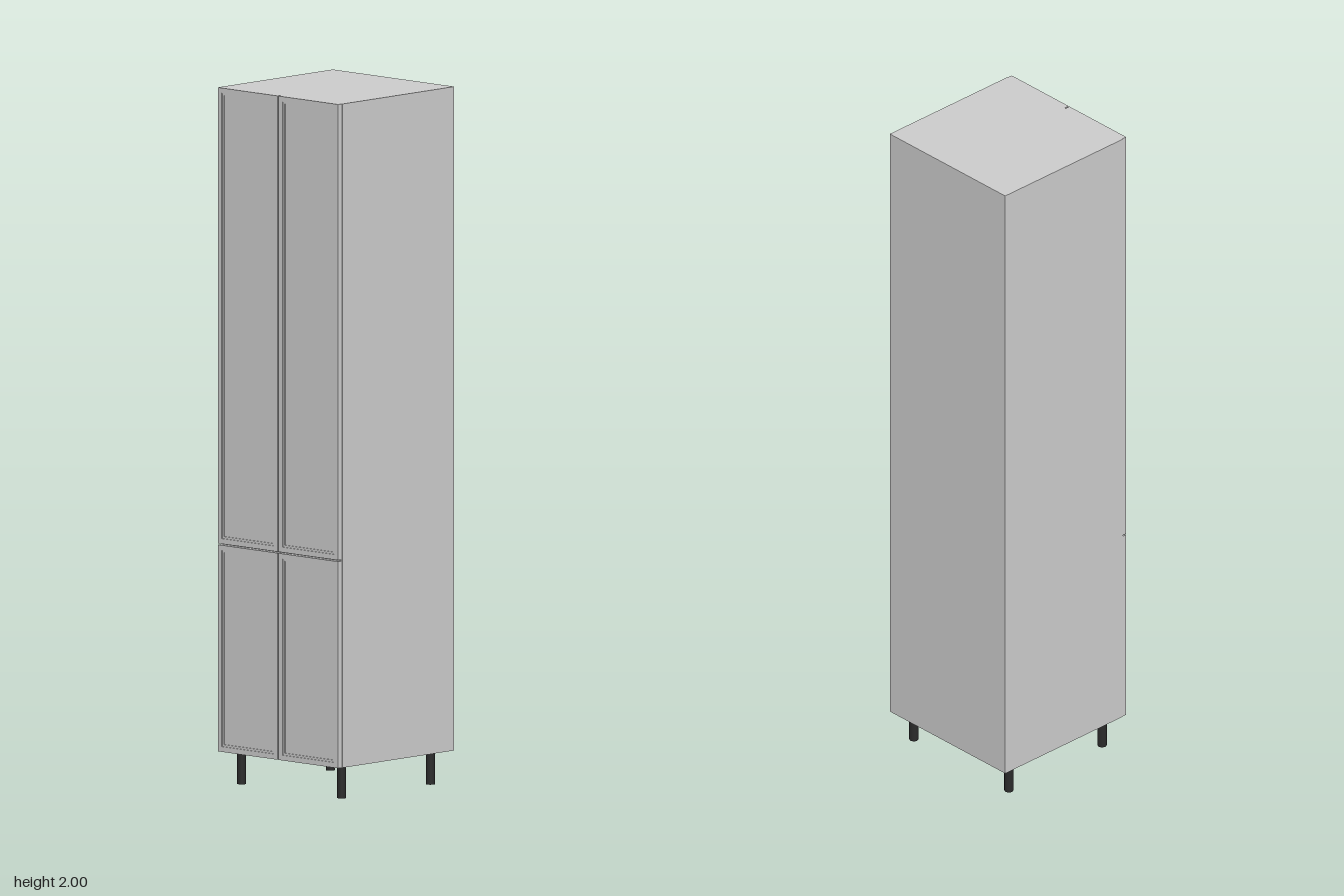
import * as THREE from 'three';

const grey = new THREE.MeshStandardMaterial({ color: 0xcccccc });
const dark = new THREE.MeshStandardMaterial({ color: 0x2a2a2a });

function box(name, w, h, d, x, y, z) {
  const mesh = new THREE.Mesh(new THREE.BoxGeometry(w, h, d), grey);
  mesh.name = name;
  mesh.position.set(x, y, z);
  return mesh;
}

// Rectangular ring of the given border width, its back at z
function ring(name, w, h, border, depth, z) {
  const rect = (C, a, b) => new C([
    new THREE.Vector2(-a, -b), new THREE.Vector2(a, -b),
    new THREE.Vector2(a, b), new THREE.Vector2(-a, b),
  ]);
  const shape = rect(THREE.Shape, w / 2, h / 2);
  shape.holes.push(rect(THREE.Path, w / 2 - border, h / 2 - border));
  const mesh = new THREE.Mesh(new THREE.ExtrudeGeometry(shape, { depth, bevelEnabled: false }), grey);
  mesh.name = name;
  mesh.position.z = z;
  return mesh;
}

// Framed door with a stepped moulding around a recessed panel
function makeDoor(name, w, h) {
  const door = new THREE.Group();
  door.name = name;
  const border = 0.015, step = 0.006;
  door.add(ring('doorFrame', w, h, border, 0.015, 0));
  door.add(ring('doorMoulding', w - 2 * border, h - 2 * border, step, 0.012, 0));
  const inset = 2 * (border + step);
  door.add(box('doorPanel', w - inset, h - inset, 0.009, 0, 0, 0.0045));
  return door;
}

export function createModel() {
  const model = new THREE.Group();
  model.name = 'tallCabinet';

  // Carcass
  const W = 0.476, y0 = 0.095, y1 = 2, back = -0.238, front = 0.222, t = 0.012;
  const H = y1 - y0, D = front - back, cy = (y0 + y1) / 2, cz = (front + back) / 2;
  const carcass = new THREE.Group();
  carcass.name = 'carcass';
  for (const s of [-1, 1]) {
    carcass.add(box(s > 0 ? 'leftSide' : 'rightSide', t, H, D, s * (W - t) / 2, cy, cz));
  }
  const inner = W - 2 * t;
  for (const [name, y] of [['bottom', y0 + t / 2], ['middleShelf', 0.69], ['top', y1 - t / 2]]) {
    carcass.add(box(name, inner, t, D, 0, y, cz));
  }
  carcass.add(box('backPanel', inner, H - 2 * t, t, 0, cy, back + t / 2));
  model.add(carcass);

  // Two pairs of doors
  const doorW = 0.234;
  for (const [level, a, b] of [['lower', 0.095, 0.688], ['upper', 0.692, 2]]) {
    for (const s of [-1, 1]) {
      const door = makeDoor(level + (s > 0 ? 'LeftDoor' : 'RightDoor'), doorW, b - a);
      door.position.set(s * (0.002 + doorW / 2), (a + b) / 2, front);
      model.add(door);
    }
  }

  // Round legs
  const legGeometry = new THREE.CylinderGeometry(0.013, 0.013, y0, 24);
  for (const x of [-0.196, 0.196]) {
    for (const z of [-0.184, 0.181]) {
      const leg = new THREE.Mesh(legGeometry, dark);
      leg.name = 'leg';
      leg.position.set(x, y0 / 2, z);
      model.add(leg);
    }
  }
  return model;
}
